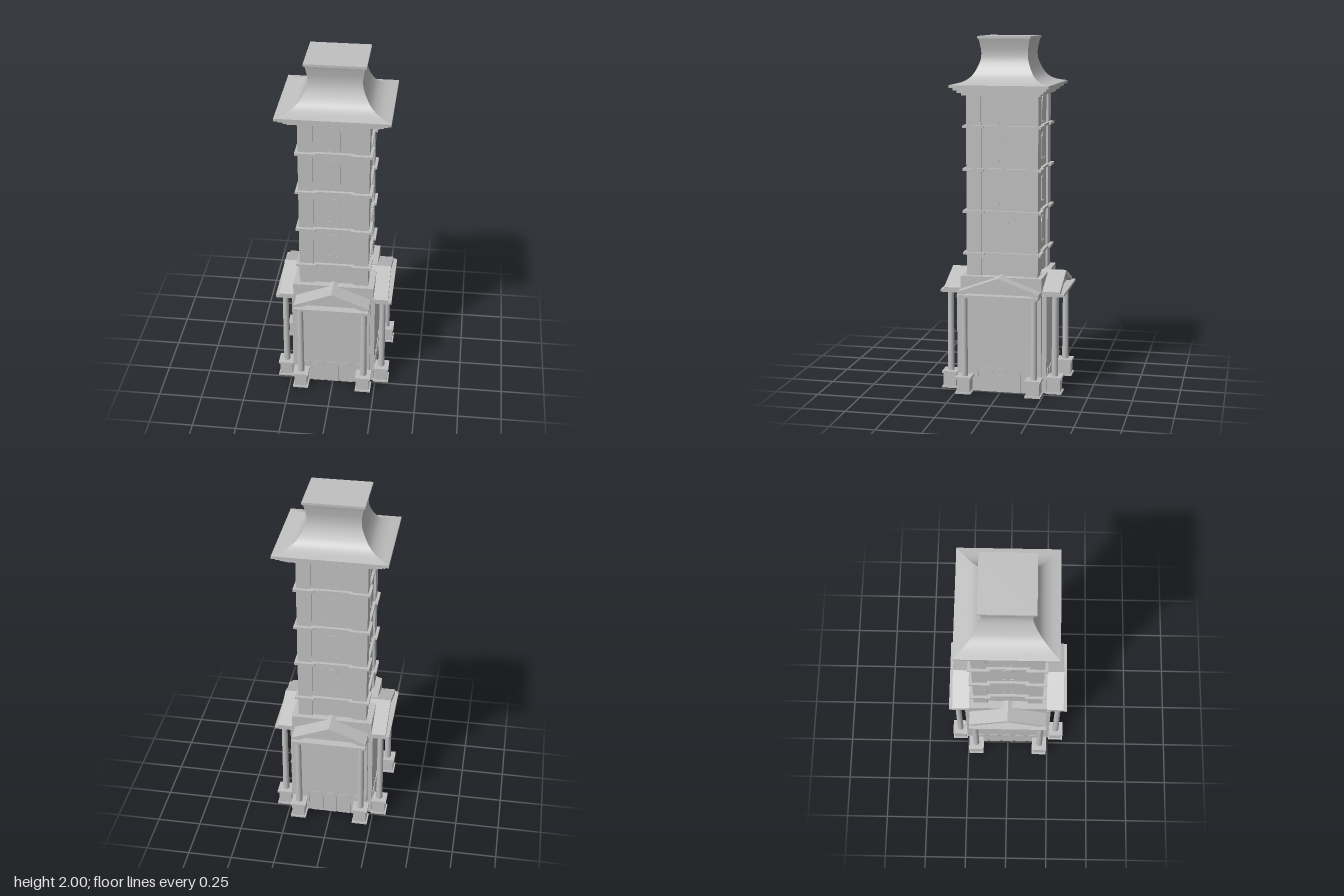
import * as THREE from 'three';

const stone = new THREE.MeshStandardMaterial({ color: 0xc0c0c0 });
stone.name = 'pale stone';

function add(parent, name, geometry, x = 0, y = 0, z = 0) {
  const mesh = new THREE.Mesh(geometry, stone);
  mesh.name = name;
  mesh.position.set(x, y, z);
  parent.add(mesh);
  return mesh;
}

// box given by its half sizes and its bottom and top heights
function block(parent, name, hx, hz, y0, y1, x = 0, z = 0) {
  return add(parent, name, new THREE.BoxGeometry(hx * 2, y1 - y0, hz * 2), x, (y0 + y1) / 2, z);
}

function polygon(points) {
  return new THREE.Shape(points.map(([x, y]) => new THREE.Vector2(x, y)));
}

function extrude(shape, depth) {
  return new THREE.ExtrudeGeometry(shape, { depth, bevelEnabled: false, curveSegments: 8 });
}

// round-headed panel standing on y = 0
function archPanel(width, height) {
  const r = width / 2;
  const s = new THREE.Shape();
  s.moveTo(-r, 0);
  s.lineTo(r, 0);
  s.lineTo(r, height - r);
  s.absarc(0, height - r, r, 0, Math.PI, false);
  s.closePath();
  return extrude(s, 0.005);
}

function crossOutline(ax, az, bx, bz) {
  return [[-ax, -az], [ax, -az], [ax, -bz], [bx, -bz], [bx, bz], [ax, bz],
    [ax, az], [-ax, az], [-ax, bz], [-bx, bz], [-bx, -bz], [-ax, -bz]];
}

// four flared roof faces, smooth along the slope and sharp at the hips
function flaredRoof(profile, ratio) {
  const pos = [], index = [], n = profile.length;
  const corners = [[-1, 1], [1, 1], [1, -1], [-1, -1]];
  for (let side = 0; side < 4; side++) {
    const a = corners[side], b = corners[(side + 1) % 4];
    const base = pos.length / 3;
    profile.forEach((p, i) => {
      for (const c of [a, b]) pos.push(c[0] * p.x, p.y, c[1] * p.x * ratio);
      if (i < n - 1) {
        const k = base + i * 2;
        index.push(k, k + 1, k + 3, k, k + 3, k + 2);
      }
    });
  }
  const g = new THREE.BufferGeometry();
  g.setAttribute('position', new THREE.Float32BufferAttribute(pos, 3));
  g.setIndex(index);
  g.computeVertexNormals();
  return g;
}

// one gabled porch, facing +z before it is turned
function portico(parent, wallZ, columnX, columnZ, roofX, roofZ) {
  for (const s of [-1, 1]) {
    const x = s * columnX;
    block(parent, 'pedestalFoot', 0.045, 0.045, 0, 0.01, x, columnZ);
    block(parent, 'pedestal', 0.037, 0.037, 0.01, 0.085, x, columnZ);
    block(parent, 'pedestalCap', 0.045, 0.045, 0.085, 0.098, x, columnZ);
    add(parent, 'column', new THREE.CylinderGeometry(0.017, 0.019, 0.464, 20), x, 0.329, columnZ);
  }
  const slabDepth = (roofZ + 0.021 - 0.2) / 2;
  block(parent, 'eaveSlab', roofX, slabDepth, 0.56, 0.575, 0, 0.2 + slabDepth);

  // raking roof with a recessed gable wall
  const rake = polygon([[-roofX, 0.575], [-roofX + 0.04, 0.575], [0, 0.652],
    [roofX - 0.04, 0.575], [roofX, 0.575], [roofX, 0.588], [0, 0.672], [-roofX, 0.588]]);
  add(parent, 'gableRoof', extrude(rake, roofZ - 0.1), 0, 0, 0.1);
  const gable = polygon([[-roofX + 0.03, 0.575], [roofX - 0.03, 0.575], [0, 0.655]]);
  add(parent, 'gableWall', extrude(gable, roofZ - 0.125), 0, 0, 0.1);

  // blind arcade along the foot of the wall
  for (let i = -2; i <= 2; i++) {
    add(parent, 'footArch', archPanel(0.07, 0.14), i * 0.082, 0, wallZ - 0.001);
  }
}

export function createModel() {
  const model = new THREE.Group();
  model.name = 'tower';

  // hollow cross-shaped base, open underneath
  const plan = polygon(crossOutline(0.215, 0.258, 0.241, 0.232));
  plan.holes.push(new THREE.Path(
    crossOutline(0.207, 0.25, 0.233, 0.224).reverse().map(([x, y]) => new THREE.Vector2(x, y))));
  const walls = add(model, 'baseWalls', extrude(plan, 0.565));
  walls.geometry.rotateX(-Math.PI / 2);
  block(model, 'baseTop', 0.232, 0.232, 0.56, 0.662);

  // tower shaft with projecting corner piers and string courses
  const hx = 0.197, hz = 0.204, inset = 0.012, y0 = 0.66, y1 = 1.68;
  const pierX = (hx - 0.115) / 2, pierZ = (hz - 0.12) / 2;
  const courses = [0.78, 1.018, 1.256, 1.495];
  block(model, 'shaft', hx - inset, hz - inset, y0, y1);
  for (const y of courses) {
    block(model, 'stringCourse', hx + 0.003, hz + 0.006, y, y + 0.014);
  }
  for (const sx of [-1, 1]) {
    for (const sz of [-1, 1]) {
      const x = sx * (hx - pierX), z = sz * (hz - pierZ);
      block(model, 'cornerPier', pierX, pierZ, y0, y1, x, z);
      for (const y of courses) {
        block(model, 'cornerCourse', pierX + 0.016, pierZ + 0.019, y, y + 0.014, x, z);
      }
    }
  }

  // porches and windows on all four sides
  for (let i = 0; i < 4; i++) {
    const side = new THREE.Group();
    side.name = ['front', 'left', 'back', 'right'][i] + 'Side';
    side.rotation.y = i * Math.PI / 2;
    model.add(side);
    if (i % 2 === 0) portico(side, 0.258, 0.184, 0.302, 0.214, 0.334);
    else portico(side, 0.241, 0.199, 0.283, 0.23, 0.314);
    const d = (i % 2 === 0 ? hz : hx) - inset - 0.001;
    for (const y of [0.848, 1.078, 1.32, 1.527]) {
      add(side, 'window', archPanel(0.07, 0.14), 0, y, d);
      for (const s of [-1, 1]) {
        block(side, 'sillBracket', 0.008, 0.006, y - 0.006, y, s * 0.022, d + 0.003);
      }
    }
  }

  // stepped cornice and flared roof
  const roof = new THREE.Group();
  roof.name = 'roof';
  roof.position.z = -0.004;
  model.add(roof);
  const ratio = 0.885;
  [[0.25, 1.677], [0.272, 1.692], [0.293, 1.707], [0.313, 1.722]].forEach(([h, y]) =>
    block(roof, 'corniceStep', h, h * ratio, y, y + 0.015));
  const curve = new THREE.SplineCurve([[0.313, 1.737], [0.25, 1.75], [0.205, 1.775], [0.175, 1.815],
    [0.153, 1.865], [0.148, 1.91], [0.155, 1.955], [0.163, 1.988]]
    .map(([x, y]) => new THREE.Vector2(x, y)));
  add(roof, 'flaredRoof', flaredRoof(curve.getPoints(28), ratio));
  block(roof, 'roofCap', 0.169, 0.15, 1.987, 2);

  return model;
}
